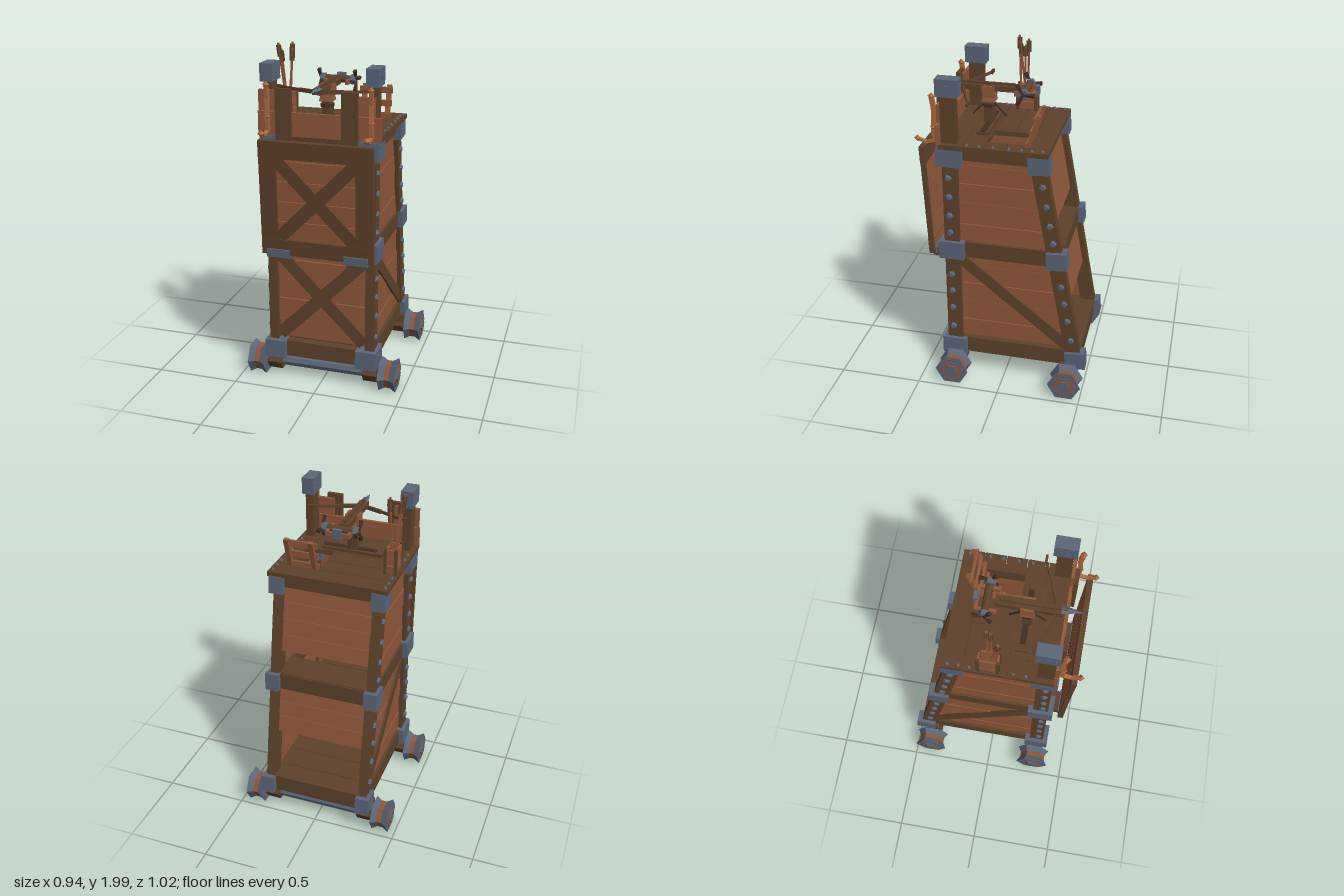
import * as THREE from 'three';

const mat = (name, color) => new THREE.MeshStandardMaterial({ name, color, flatShading: true });

export function createModel() {
  const frame = mat('dark timber', 0x5e422b);
  const plank = mat('plank wood', 0x91573b);
  const iron = mat('iron', 0x5b6679);
  const rope = mat('rope', 0xb0693f);
  const shade = mat('dark wood', 0x402d22);
  const root = new THREE.Group();
  root.name = 'siegeTower';

  const add = (name, geo, m, p = [0, 0, 0], parent = root) => {
    const mesh = new THREE.Mesh(geo, m);
    mesh.name = name;
    mesh.position.set(...p);
    parent.add(mesh);
    return mesh;
  };
  // Box given by its limits on each axis
  const box = (name, m, x0, x1, y0, y1, z0, z1, parent) =>
    add(name, new THREE.BoxGeometry(x1 - x0, y1 - y0, z1 - z0), m,
      [(x0 + x1) / 2, (y0 + y1) / 2, (z0 + z1) / 2], parent);
  // Bar from a to b: w is the horizontal thickness, d the other
  const bar = (name, m, a, b, w, d) => {
    const A = new THREE.Vector3(...a), B = new THREE.Vector3(...b);
    const mesh = add(name, new THREE.BoxGeometry(w, d, A.distanceTo(B)), m,
      A.clone().add(B).multiplyScalar(0.5).toArray());
    mesh.quaternion.setFromUnitVectors(new THREE.Vector3(0, 0, 1), B.sub(A).normalize());
    return mesh;
  };
  // Cylinder along x, with its radii at the left (-x) and right (+x) end
  const rod = (name, m, r0, r1, len, p, sides = 6, parent = root) =>
    add(name, new THREE.CylinderGeometry(r1, r0, len, sides).rotateZ(-Math.PI / 2), m, p, parent);

  const backZ = y => -0.43 + (y - 0.24) * 0.186; // centre line of the leaning rear posts
  const tilt = Math.atan(0.186);
  const both = [-1, 1];

  // Box whose rear end follows the lean of the rear posts
  const leaning = (name, m, x, w, y0, y1, front) => {
    const g = new THREE.BoxGeometry(w, y1 - y0, 1).translate(x, (y0 + y1) / 2, 0);
    const p = g.attributes.position;
    for (let i = 0; i < p.count; i++) p.setZ(i, p.getZ(i) > 0 ? front : backZ(p.getY(i)));
    g.computeVertexNormals();
    return add(name, g, m);
  };

  const lowRows = [0.27, 0.385, 0.52, 0.645, 0.77, 0.83];
  const highRows = [0.93, 1.045, 1.185, 1.305, 1.42, 1.46];
  const gap = 0.002;

  for (const s of both) {
    // Corner posts and caps
    box('frontPost', frame, s * 0.297 - 0.027, s * 0.297 + 0.027, 0.15, 1.53, 0.26, 0.35);
    box('capPost', frame, s * 0.302 - 0.023, s * 0.302 + 0.023, 1.5, 1.86, 0.26, 0.35);
    box('postCap', iron, s * 0.303 - 0.037, s * 0.303 + 0.037, 1.83, 1.93, 0.24, 0.37);
    rod('capPin', iron, 0.015, 0.015, 0.08, [s * 0.303, 1.88, 0.305]);
    bar('rearPost', frame, [s * 0.297, 0.16, backZ(0.16)], [s * 0.297, 1.53, backZ(1.53)], 0.054, 0.09);

    // Side beams, walls and brace
    leaning('bottomSideBeam', frame, s * 0.287, 0.056, 0.15, 0.255, 0.3);
    leaning('middleSideBeam', frame, s * 0.287, 0.056, 0.83, 0.93, 0.3);
    leaning('topSideBeam', frame, s * 0.287, 0.056, 1.455, 1.53, 0.3);
    for (const rows of [lowRows, highRows])
      for (let i = 0; i < rows.length - 1; i++)
        leaning('sidePlank', plank, s * (i % 2 ? 0.288 : 0.292), 0.02, rows[i] + gap, rows[i + 1] - gap, 0.3);
    bar('sideBrace', frame, [s * 0.303, 0.82, 0.27], [s * 0.303, 0.27, -0.41], 0.02, 0.07);

    // Iron corner brackets
    for (const y of [0.2, 0.88, 1.475]) {
      box('frontBracket', iron, s * 0.282 - 0.064, s * 0.282 + 0.064, y - 0.057, y + 0.055, 0.23, 0.38);
      add('rearBracket', new THREE.BoxGeometry(0.082, 0.108, 0.122), iron, [s * 0.305, y, backZ(y) - 0.01])
        .rotation.x = tilt * 0.4;
      rod('bracketStud', iron, 0.008, 0.008, 0.008, [s * 0.347, y + 0.035, 0.355]);
    }
    // Rivets up the posts
    for (const y of [0.335, 0.47, 0.59, 0.705, 0.99, 1.1, 1.22, 1.34])
      for (const z of [0.315, backZ(y) - 0.005])
        rod('rivet', iron, s > 0 ? 0.023 : 0.014, s > 0 ? 0.014 : 0.023, 0.014, [s * 0.33, y, z]);

    // Wheels: flared iron rims around a wooden waist
    for (const z of [0.298, -0.403]) {
      const wheel = new THREE.Group();
      wheel.name = 'wheel';
      wheel.position.set(s * 0.408, 0.093, z);
      root.add(wheel);
      const hex = (n, m, r0, r1, len, x) => rod(n, m, r0, r1, len, [x, 0, 0], 6, wheel);
      hex('waist', plank, 0.081, 0.081, 0.034, 0);
      hex('rimRight', iron, 0.081, 0.102, 0.036, 0.033);
      hex('rimLeft', iron, 0.102, 0.081, 0.036, -0.033);
      hex('hubRing', plank, 0.066, 0.066, 0.008, s * 0.051);
      hex('hub', iron, 0.042, 0.042, 0.022, s * 0.052);
      rod('axleBlock', frame, 0.06, 0.06, 0.09, [s * 0.3, 0.095, z]);
      box('axleMount', frame, s * 0.3 - 0.045, s * 0.3 + 0.045, 0.1, 0.17, z - 0.045, z + 0.045);
    }
  }
  for (const z of [0.298, -0.403]) rod('axle', iron, 0.037, 0.037, 0.74, [0, 0.095, z], 8);

  // Cross beams at each level
  for (const [y0, y1] of [[0.15, 0.25], [0.83, 0.93], [1.455, 1.53]]) {
    const z = backZ((y0 + y1) / 2);
    box('frontBeam', frame, -0.29, 0.29, y0, y1, 0.28, 0.35);
    box('rearBeam', frame, -0.29, 0.29, y0, y1, z - 0.035, z + 0.035);
  }

  // Front wall with crossed braces
  for (let i = 0; i < lowRows.length - 1; i++)
    box('frontPlank', plank, -0.29, 0.29, lowRows[i] + gap, lowRows[i + 1] - gap, 0.295, 0.318 + (i % 2) * 0.006);
  for (const s of both)
    add('frontBrace', new THREE.BoxGeometry(0.74, 0.075, 0.02), frame, [0, 0.55, 0.332]).rotation.z = s * 0.79;
  // Rear walls leave a doorway under each
  for (const rows of [[0.54, 0.645, 0.74, 0.83], [1.06, 1.16, 1.26, 1.36, 1.46]])
    for (let i = 0; i < rows.length - 1; i++)
      bar('rearPlank', plank, [0, rows[i] + gap, backZ(rows[i])], [0, rows[i + 1] - gap, backZ(rows[i + 1])], 0.57, 0.025);

  // Floors: planks across, with a ladder hatch in the upper two
  const floor = (name, y0, y1, w, cuts, hatch) => {
    for (let i = 0; i < cuts.length - 1; i++) {
      const z0 = cuts[i] + gap, z1 = cuts[i + 1] - gap;
      if (hatch && z0 > -0.16 && z1 < 0.11) {
        box(name, frame, -w, 0.085, y0, y1, z0, z1);
        box(name, frame, 0.255, w, y0, y1, z0, z1);
      } else box(name, frame, -w, w, y0, y1, z0, z1);
    }
  };
  floor('groundFloor', 0.155, 0.256, 0.272, [-0.475, -0.34, -0.18, -0.02, 0.14, 0.3], false);
  floor('middleFloor', 0.9, 0.935, 0.272, [-0.34, -0.145, -0.02, 0.1, 0.2, 0.3], true);
  floor('deck', 1.528, 1.556, 0.355, [-0.267, -0.145, -0.02, 0.1, 0.222, 0.36], true);
  for (const s of both)
    for (const z of [-0.23, -0.17, -0.11, -0.04, 0.05, 0.13, 0.2])
      add('deckNail', new THREE.CylinderGeometry(0.008, 0.011, 0.01, 6), iron, [s * 0.333, 1.56, z]);

  // Ladders, with the rungs on the climbing side
  for (const [y, rise] of [[0.255, 0.66], [0.93, 0.81]]) {
    const foot = 0.045, top = foot - rise * 0.295;
    for (const x of [0.115, 0.262])
      bar('ladderRail', plank, [x, y, foot], [x, y + rise, top], 0.028, 0.022);
    const count = Math.round(rise * 13);
    for (let i = 0; i < count; i++) {
      const t = (i + 0.6) / count, ry = y + rise * t, rz = foot + (top - foot) * t;
      box('ladderRung', plank, 0.088, 0.285, ry - 0.018, ry + 0.018, rz + 0.004, rz + 0.019);
    }
  }

  // Drawbridge, leaning slightly forward
  const bridge = new THREE.Group();
  bridge.name = 'drawbridge';
  bridge.position.set(0.008, 0.83, 0.425);
  bridge.rotation.x = 0.05;
  root.add(bridge);
  const rows = [0.03, 0.1, 0.22, 0.34, 0.46, 0.58, 0.67];
  for (let i = 0; i < rows.length - 1; i++)
    box('bridgePlank', plank, -0.31, 0.31, rows[i] + gap, rows[i + 1] - gap, -0.014, 0.004, bridge);
  for (const s of both) {
    box('bridgeStile', frame, s * 0.28 - 0.05, s * 0.28 + 0.05, 0.02, 0.695, -0.012, 0.016, bridge);
    add('bridgeBrace', new THREE.BoxGeometry(0.66, 0.075, 0.012), frame, [0, 0.35, 0.008], bridge)
      .rotation.z = s * 0.8;
    box('hinge', iron, s * 0.23 - 0.07, s * 0.23 + 0.07, 0.0, 0.05, -0.02, 0.026, bridge);
    box('hingeArm', frame, s * 0.23 - 0.06, s * 0.23 + 0.06, -0.02, 0.03, -0.08, 0.01, bridge);
  }
  box('bridgeBottomRail', frame, -0.33, 0.33, 0.015, 0.11, -0.014, 0.018, bridge);
  box('bridgeTopRail', frame, -0.33, 0.33, 0.595, 0.695, -0.014, 0.018, bridge);

  // Front parapet
  box('parapetPlank', plank, -0.355, 0.355, 1.53, 1.665, 0.352, 0.372);
  box('parapetUpperRight', plank, -0.35, -0.2, 1.67, 1.785, 0.352, 0.372);
  box('parapetUpperLeft', plank, 0.18, 0.32, 1.67, 1.775, 0.352, 0.372);
  box('merlonRight', frame, -0.245, -0.155, 1.5, 1.8, 0.37, 0.395);
  box('merlonLeft', frame, 0.135, 0.228, 1.5, 1.8, 0.37, 0.395);

  // Drawbridge ropes
  for (const x of [-0.292, 0.305]) {
    const pts = [[1.82, 0.4], [1.74, 0.388], [1.64, 0.394], [1.56, 0.385], [1.545, 0.44], [1.565, 0.49]];
    for (let i = 0; i < pts.length - 1; i++)
      bar('rope', rope, [x, ...pts[i]], [x, ...pts[i + 1]], 0.021, i < 3 ? 0.026 : 0.014);
    for (const i of [0, 2, 5])
      add('ropeKnot', new THREE.OctahedronGeometry(0.021, 0), rope, [x, ...pts[i]]);
  }

  // Open quiver of slats between corner posts
  for (const x of [-0.338, -0.278])
    for (const z of [-0.062, 0.048])
      box('quiverPost', frame, x - 0.008, x + 0.008, 1.556, 1.71, z - 0.01, z + 0.01);
  for (const y of [1.585, 1.635, 1.68]) {
    for (const x of [-0.336, -0.28]) box('quiverSlat', plank, x - 0.006, x + 0.006, y - 0.021, y + 0.021, -0.056, 0.042);
    for (const z of [-0.06, 0.046]) box('quiverSlat', plank, -0.336, -0.28, y - 0.021, y + 0.021, z - 0.006, z + 0.006);
  }
  for (const [x, z, tx, tz, h] of [[-0.3, 0.03, -0.345, 0.052, 1.995], [-0.31, 0, -0.33, 0.045, 1.96],
    [-0.3, -0.01, -0.282, -0.018, 1.995], [-0.3, 0.01, -0.275, 0.0, 1.96]]) {
    const at = t => [x + (tx - x) * t, 1.6 + (h - 1.6) * t, z + (tz - z) * t];
    bar('arrowShaft', plank, at(0), at(1), 0.011, 0.011);
    bar('arrowFletching', frame, at(0.8), at(0.97), 0.03, 0.005);
    bar('arrowFletching', frame, at(0.8), at(0.97), 0.005, 0.03);
  }

  // Ballista stand
  const cx = -0.015;
  box('standBase', frame, -0.2, 0.168, 1.556, 1.575, 0.115, 0.188);
  box('standSlot', shade, -0.16, 0.165, 1.574, 1.579, 0.135, 0.168);
  box('standPost', frame, cx - 0.028, cx + 0.028, 1.57, 1.72, 0.127, 0.183);
  add('standCollar', new THREE.CylinderGeometry(0.04, 0.04, 0.02, 6), shade, [cx, 1.675, 0.155]);
  add('standHead', new THREE.CylinderGeometry(0.036, 0.056, 0.07, 4, 1).rotateY(Math.PI / 4), plank, [cx, 1.735, 0.155]);
  for (const s of both) {
    box('standCheek', plank, cx + s * 0.035 - 0.006, cx + s * 0.035 + 0.006, 1.73, 1.795, 0.117, 0.19);
    bar('standStay', shade, [cx, 1.61, 0.155 + s * 0.1], [cx, 1.69, 0.155 + s * 0.025], 0.01, 0.008);
  }
  // Ballista stock, bolt and bow
  box('stock', frame, cx - 0.03, cx + 0.027, 1.765, 1.797, -0.02, 0.34);
  box('bolt', frame, cx - 0.008, cx + 0.008, 1.797, 1.81, 0, 0.36);
  add('boltHead', new THREE.ConeGeometry(0.028, 0.12, 4).rotateX(Math.PI / 2), iron, [cx, 1.795, 0.39]).scale.y = 0.7;
  for (const s of both) {
    bar('bowArm', frame, [cx + s * 0.02, 1.775, 0.305], [cx + s * 0.13, 1.775, 0.265], 0.014, 0.022);
    bar('bowArm', frame, [cx + s * 0.12, 1.775, 0.27], [cx + s * 0.26, 1.775, 0.212], 0.009, 0.016);
    box('bowTip', frame, cx + s * 0.28 - 0.025, cx + s * 0.28 + 0.025, 1.765, 1.785, 0.2, 0.214);
    // Winch frame and crank spokes
    bar('winchCheek', plank, [cx + s * 0.065, 1.775, -0.12], [cx + s * 0.065, 1.775, -0.005], 0.018, 0.028);
    rod('winchHub', iron, 0.031, 0.031, 0.03, [cx + s * 0.092, 1.785, -0.065]);
    for (let i = 0; i < 3; i++) {
      const a = i * Math.PI * 2 / 3 + Math.PI / 2;
      const spoke = add('crankSpoke', new THREE.CylinderGeometry(0.014, 0.006, 0.065, 5).translate(0, 0.033, 0),
        shade, [cx + s * 0.108, 1.785, -0.065]);
      spoke.rotation.x = -a;
    }
  }
  box('winchBar', plank, cx - 0.07, cx + 0.07, 1.765, 1.787, -0.125, -0.108);
  box('trigger', iron, cx - 0.025, cx + 0.025, 1.755, 1.812, -0.137, -0.115);
  rod('winchDrum', frame, 0.022, 0.022, 0.2, [cx, 1.785, -0.065], 8);
  return root;
}
